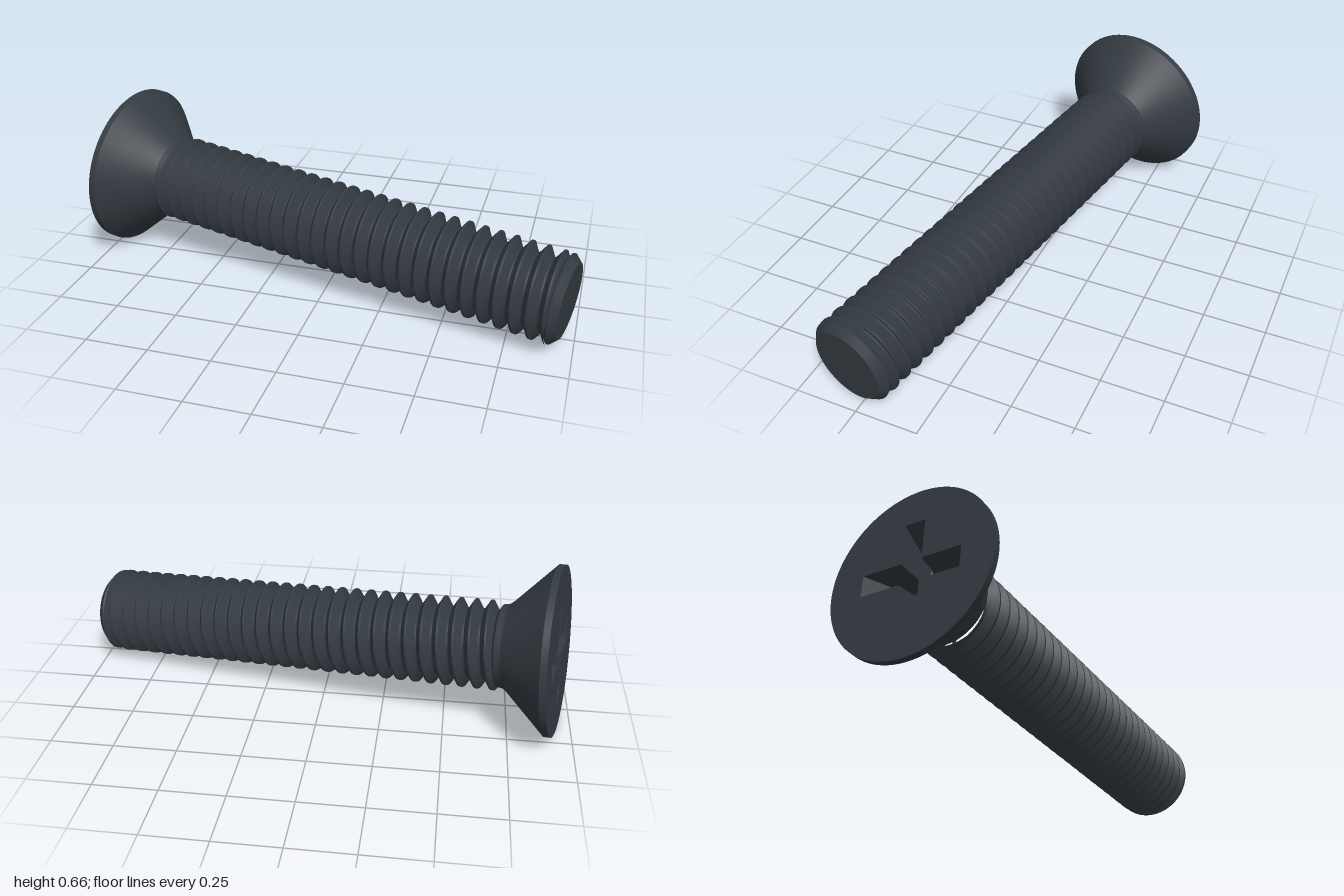
import * as THREE from 'three';
import { toCreasedNormals } from 'three/addons/utils/BufferGeometryUtils.js';

const LENGTH = 1.943, PITCH = 0.0622, CREST = 0.177, ROOT = 0.14;
const THREAD_START = 0.225, THREAD_END = 1.908, PHASE = 0.205;

function fromTriangles(positions, crease) {
  const g = new THREE.BufferGeometry();
  g.setAttribute('position', new THREE.Float32BufferAttribute(positions, 3));
  return toCreasedNormals(g, crease);
}

function lathe(points) {
  const g = new THREE.LatheGeometry(points.map(([r, y]) => new THREE.Vector2(r, y)), 96);
  return toCreasedNormals(g, 0.4);
}

// Helical thread: every column is the same saw profile, shifted by the turn
function threadGeometry() {
  const profile = [[0, CREST], [0.06, CREST], [0.25, 0.158], [0.44, ROOT], [0.56, ROOT], [0.75, 0.158], [0.94, CREST]];
  const columns = 72, rows = [];
  for (let k = -2; k < 30; k++) for (const [f, r] of profile) rows.push([k + f, r]);
  const radiusAt = (turn) => {
    const d = Math.abs(turn - Math.round(turn));
    return THREE.MathUtils.clamp(CREST - (d - 0.06) / 0.38 * (CREST - ROOT), ROOT, CREST);
  };
  const point = (j, i) => {
    const t = j / columns;
    const s = THREE.MathUtils.clamp(PHASE + (rows[i][0] + t) * PITCH, THREAD_START, THREAD_END);
    const r = radiusAt((s - PHASE) / PITCH - t);
    return [r * Math.cos(t * 2 * Math.PI), s, -r * Math.sin(t * 2 * Math.PI)];
  };
  const out = [];
  for (let j = 0; j < columns; j++) {
    for (let i = 0; i < rows.length - 1; i++) {
      const a = point(j, i), b = point(j + 1, i), c = point(j, i + 1), d = point(j + 1, i + 1);
      if (c[1] > a[1]) out.push(...a, ...b, ...c);
      if (d[1] > b[1]) out.push(...b, ...d, ...c);
    }
  }
  return fromTriangles(out, 0.6);
}

// Outline of a plus shape with arm length a and half width w
function crossOutline(a, w) {
  const pts = [];
  for (let q = 0; q < 4; q++) {
    const c = Math.round(Math.cos(q * Math.PI / 2)), s = Math.round(Math.sin(q * Math.PI / 2));
    for (const [x, y] of [[a, -w], [a, w], [w, w]]) pts.push(new THREE.Vector2(x * c - y * s, x * s + y * c));
  }
  return pts;
}

// Tapered cross socket closed by a shallow point
function recessGeometry(a, w) {
  const loops = [[a, w, 0], [0.11, 0.03, 0.15]].map(([l, h, y]) => crossOutline(l, h).map((p) => [p.x, y, p.y]));
  const [top, low] = loops, apex = [0, 0.185, 0], out = [];
  for (let i = 0; i < 12; i++) {
    const n = (i + 1) % 12;
    out.push(...top[i], ...top[n], ...low[i], ...top[n], ...low[n], ...low[i]);
    out.push(...low[i], ...low[n], ...apex);
  }
  return fromTriangles(out, 0.2);
}

export function createModel() {
  const steel = new THREE.MeshStandardMaterial({ color: 0x343b42 });
  steel.name = 'dark steel';
  const screw = new THREE.Group();
  screw.name = 'screw';
  const add = (name, geometry) => {
    const mesh = new THREE.Mesh(geometry, steel);
    mesh.name = name;
    screw.add(mesh);
  };

  // Countersunk head and plain neck
  add('head', lathe([[0.332, 0], [0.332, 0.026], [0.177, 0.185], [0.166, 0.2], [0.162, 0.225], [0.139, 0.24]]));

  // Flat face with the cross opening
  const face = new THREE.Shape().absarc(0, 0, 0.332, 0, Math.PI * 2, false);
  face.holes.push(new THREE.Path(crossOutline(0.2, 0.042)));
  add('headFace', new THREE.ShapeGeometry(face, 96).rotateX(Math.PI / 2));
  add('crossRecess', recessGeometry(0.2, 0.042));

  // Threaded shank and chamfered end
  add('thread', threadGeometry());
  add('tip', lathe([[0.138, 1.89], [0.172, THREAD_END], [0.174, 1.915], [0.147, LENGTH], [0, LENGTH]]));

  // Lay the screw along its slanting axis
  const axis = new THREE.Vector3(1.895, -0.147, 0.405).normalize();
  const up = new THREE.Vector3(0, 1, 0).addScaledVector(axis, -axis.y).normalize();
  const side = new THREE.Vector3().crossVectors(up, axis);
  screw.quaternion.setFromRotationMatrix(new THREE.Matrix4().makeBasis(up, axis, side));
  screw.position.set(-0.927, 0.332, -0.12);

  const model = new THREE.Group();
  model.name = 'countersunkScrew';
  model.add(screw);
  return model;
}
